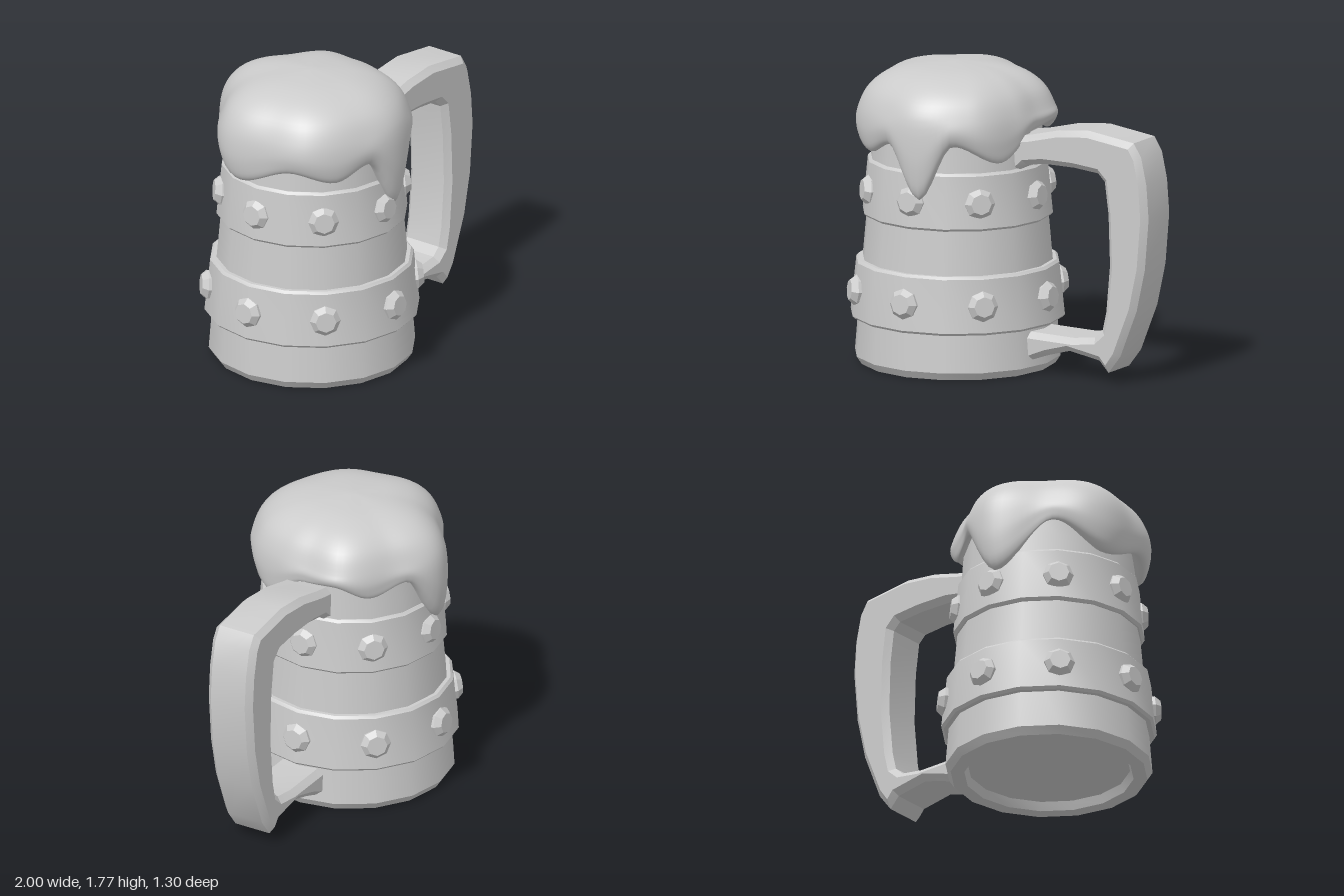
import * as THREE from 'three';
import { toCreasedNormals } from 'three/addons/utils/BufferGeometryUtils.js';

const CX = -0.355; // axis of the mug
const grey = (opts = {}) => new THREE.MeshStandardMaterial({ color: 0xcccccc, ...opts });

function lathe(name, pts, segments = 16) {
  const geo = new THREE.LatheGeometry(pts.map(([r, y]) => new THREE.Vector2(r, y)), segments);
  const mesh = new THREE.Mesh(toCreasedNormals(geo, 0.5), grey());
  mesh.name = name;
  return mesh;
}

// Smooth periodic interpolation of [degrees, value] keys
function around(keys, deg) {
  const n = keys.length;
  for (let i = 0; i < n; i++) {
    const [a, va] = keys[i];
    const [b0, vb] = keys[(i + 1) % n];
    const b = i === n - 1 ? b0 + 360 : b0;
    const d = deg < a && i === n - 1 ? deg + 360 : deg;
    if (d >= a && d <= b) return THREE.MathUtils.lerp(va, vb, THREE.MathUtils.smoothstep(d, a, b));
  }
  return keys[0][1];
}

// Foam cap: a domed skin whose lower edge runs down in drips
function makeFoam() {
  // angle from +x toward +z: height of the lower edge, and widest radius
  const edge = [[0, 1.42], [32, 1.26], [62, 1.37], [83, 1.05], [105, 1.35], [128, 1.27], [155, 1.33],
    [193, 1.22], [228, 1.39], [265, 1.1], [292, 1.41], [317, 1.35], [340, 1.43]];
  const width = [[0, 0.53], [18, 0.54], [50, 0.58], [85, 0.6], [112, 0.575], [143, 0.59], [170, 0.56], [199, 0.6],
    [235, 0.53], [270, 0.61], [303, 0.53], [335, 0.58]];
  const around360 = 96, rows = 36, pos = [], idx = [];
  for (let i = 0; i < around360; i++) {
    const deg = i * 360 / around360, a = THREE.MathUtils.degToRad(deg);
    const low = around(edge, deg), R = around(width, deg);
    const bodyR = 0.6 - 0.075 * low;
    const y = s => THREE.MathUtils.lerp(1.52, low, s);
    const lip = t => THREE.MathUtils.lerp(R, bodyR + 0.02, t);
    const section = [[0, 1.77], [R * 0.25, 1.76], [R * 0.5, 1.74], [R * 0.72, 1.695], [R * 0.88, 1.62], [R * 0.97, 1.52],
      [R, y(0.4)], [lip(0.1), y(0.7)], [lip(0.4), y(0.92)], [lip(0.85), y(1)], [bodyR - 0.03, low + 0.03]];
    const curve = new THREE.CatmullRomCurve3(section.map(([r, h]) => new THREE.Vector3(r, h, 0)));
    for (let j = 0; j <= rows; j++) {
      const p = curve.getPoint(j / rows);
      pos.push(p.x * Math.cos(a), p.y, p.x * Math.sin(a));
    }
  }
  for (let i = 0; i < around360; i++) {
    for (let j = 0; j < rows; j++) {
      const a = i * (rows + 1) + j, b = ((i + 1) % around360) * (rows + 1) + j;
      if (j > 0) idx.push(a, b, b + 1);
      idx.push(a, b + 1, a + 1);
    }
  }
  const geo = new THREE.BufferGeometry();
  geo.setAttribute('position', new THREE.Float32BufferAttribute(pos, 3));
  geo.setIndex(idx);
  geo.computeVertexNormals();
  // level normals at the crown
  for (let i = 0; i < around360; i++) geo.attributes.normal.setXYZ(i * (rows + 1), 0, 1, 0);
  const mesh = new THREE.Mesh(geo, grey({ side: THREE.DoubleSide }));
  mesh.name = 'foam';
  return mesh;
}

// Handle: bevelled extrusion of a bowed C shape
function makeHandle() {
  const outline = [
    [0.08, 1.39], [0.2, 1.41], [0.4, 1.46], [0.6, 1.48], [0.9, 1.44], [0.95, 1.36], [0.985, 1.2], [1, 1],
    [0.975, 0.7], [0.92, 0.45], [0.81, 0.17], [0.73, 0.065], [0.67, 0.13], [0.47, 0.165], [0.33, 0.125], [0.15, 0.06],
    [0.15, 0.25], [0.5, 0.245], [0.64, 0.265], [0.69, 0.31], [0.715, 0.42], [0.74, 0.7], [0.73, 1], [0.705, 1.19],
    [0.66, 1.235], [0.5, 1.25], [0.3, 1.25], [0.18, 1.23], [0.08, 1.16],
  ];
  const bevel = 0.035;
  const geo = new THREE.ExtrudeGeometry(new THREE.Shape(outline.map(p => new THREE.Vector2(...p))), {
    depth: 0.3 - 2 * bevel, bevelEnabled: true, bevelSegments: 1,
    bevelSize: bevel, bevelThickness: bevel, bevelOffset: -bevel,
  });
  geo.translate(0, 0, -0.15 + bevel);
  const mesh = new THREE.Mesh(toCreasedNormals(geo, 0.4), grey());
  mesh.name = 'handle';
  return mesh;
}

// Ring of eight faceted studs
function makeStuds(name, radius, y) {
  const group = new THREE.Group();
  group.name = name;
  const profile = [[0.085, -0.05], [0.09, 0], [0.06, 0.035], [0, 0.035]].map(p => new THREE.Vector2(...p));
  const geo = new THREE.LatheGeometry(profile, 8);
  geo.rotateX(Math.PI / 2);
  const mat = grey({ flatShading: true });
  for (let i = 0; i < 8; i++) {
    const a = i * Math.PI / 4;
    const stud = new THREE.Mesh(geo, mat);
    stud.name = 'stud';
    stud.position.set(Math.sin(a) * radius, y, Math.cos(a) * radius);
    stud.rotation.set(-0.08, a, 0, 'YXZ');
    group.add(stud);
  }
  return group;
}

export function createModel() {
  const model = new THREE.Group();
  model.name = 'mug';
  const vessel = new THREE.Group();
  vessel.name = 'vessel';
  vessel.position.x = CX;

  // Tapered body with a recessed underside
  vessel.add(lathe('body', [[0, 0.05], [0.47, 0.05], [0.49, 0], [0.57, 0], [0.6, 0.045],
    [0.555, 0.6], [0.53, 0.88], [0.5, 1.3], [0.485, 1.5], [0, 1.5]]));

  // Bands with chamfered rims
  const band = (name, y0, r0, y1, r1) => lathe(name, [[r0 - 0.08, y0], [r0 - 0.015, y0], [r0, y0 + 0.015],
    [r1, y1 - 0.015], [r1 - 0.015, y1], [r1 - 0.08, y1]]);
  vessel.add(band('lowerBand', 0.27, 0.625, 0.61, 0.592));
  vessel.add(band('upperBand', 0.87, 0.555, 1.205, 0.525));

  vessel.add(makeStuds('lowerStuds', 0.61, 0.44));
  vessel.add(makeStuds('upperStuds', 0.535, 1.03));
  vessel.add(makeFoam());
  model.add(vessel, makeHandle());
  return model;
}
